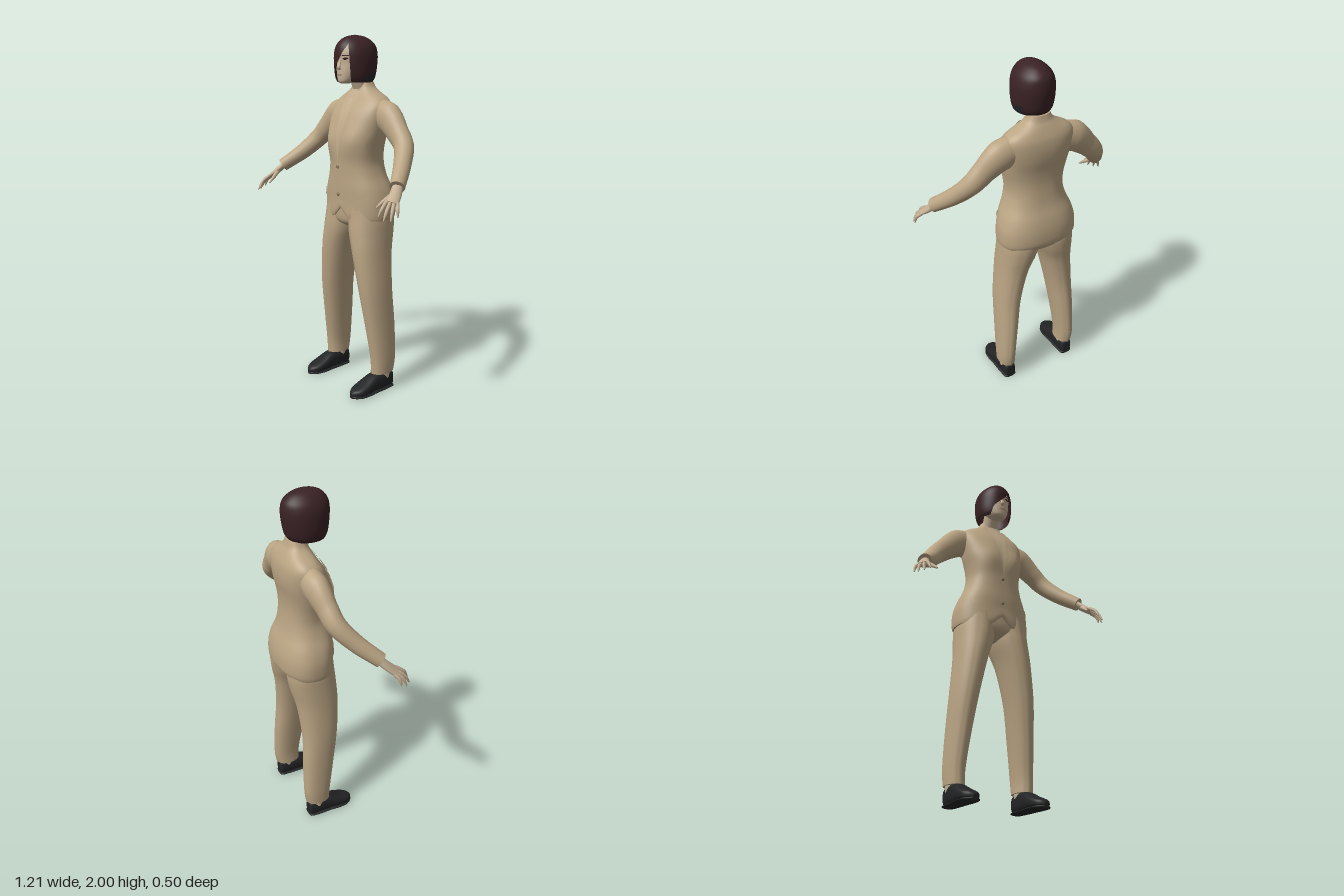
import * as THREE from 'three';

const V = (x, y, z) => new THREE.Vector3(x, y, z);
const paint = (name, color) => {
  const m = new THREE.MeshStandardMaterial({ color, side: THREE.DoubleSide });
  m.name = name;
  return m;
};

// Skin a list of point rows; closed rows wrap round, caps close both ends
function skin(rows, closed = true, caps = closed) {
  const pos = [], idx = [], n = rows[0].length;
  const put = p => pos.push(p.x, p.y, p.z) / 3 - 1;
  rows.forEach(r => r.forEach(put));
  for (let i = 0; i < rows.length - 1; i++) for (let j = 0; j < (closed ? n : n - 1); j++) {
    const a = i * n + j, b = i * n + (j + 1) % n;
    idx.push(a, b, b + n, a, b + n, a + n);
  }
  if (caps) [rows[0], rows[rows.length - 1]].forEach((r, end) => {
    const mid = put(r.reduce((s, p) => s.add(p), V(0, 0, 0)).divideScalar(n));
    const ring = r.map(put);
    ring.forEach((a, j) => end ? idx.push(mid, a, ring[(j + 1) % n]) : idx.push(mid, ring[(j + 1) % n], a));
  });
  const g = new THREE.BufferGeometry();
  g.setAttribute('position', new THREE.Float32BufferAttribute(pos, 3));
  g.setIndex(idx);
  g.computeVertexNormals();
  return g;
}

// Mirror a geometry across x, keeping faces outward
function mirror(geo) {
  const g = geo.clone().scale(-1, 1, 1), ix = g.index.array;
  for (let i = 0; i < ix.length; i += 3) [ix[i], ix[i + 1]] = [ix[i + 1], ix[i]];
  g.computeVertexNormals();
  return g;
}

// Smoothly subdivide a table of cross-sections
function refine(t, k = 4) {
  const out = [], at = i => t[Math.min(Math.max(i, 0), t.length - 1)];
  for (let i = 0; i < t.length - 1; i++) for (let s = 0; s < k; s++) {
    const u = s / k;
    out.push(t[i].map((p1, c) => {
      const p0 = at(i - 1)[c], p2 = at(i + 1)[c], p3 = at(i + 2)[c];
      return p1 + 0.5 * u * (p2 - p0 + u * (2 * p0 - 5 * p1 + 4 * p2 - p3 + u * (3 * (p1 - p2) + p3 - p0)));
    }));
  }
  out.push(t[t.length - 1]);
  return out;
}

// Point on a rounded section [y, x min, x max, front z, back z]
function sectionPoint([y, x0, x1, f, b], th, e) {
  const pw = v => Math.sign(v) * Math.abs(v) ** e;
  return V((x0 + x1) / 2 + (x1 - x0) / 2 * pw(Math.cos(th)), y, (f + b) / 2 + (f - b) / 2 * pw(Math.sin(th)));
}
function loft(table, e = 1, tweak = p => p, n = 32) {
  return skin(table.map(r => Array.from({ length: n }, (_, j) => tweak(sectionPoint(r, -j * 2 * Math.PI / n, e), j))));
}

// Height-mapped z of a lofted body, used to lay thin pieces on it
function surfaceZ(table, e, x, y, side = 1) {
  let i = 0;
  while (i < table.length - 2 && table[i + 1][0] < y) i++;
  const u = (y - table[i][0]) / (table[i + 1][0] - table[i][0]);
  const r = table[i].map((v, c) => v + (table[i + 1][c] - v) * u);
  const c = Math.min(Math.abs(x - (r[1] + r[2]) / 2) / ((r[2] - r[1]) / 2), 1) ** (1 / e);
  return (r[3] + r[4]) / 2 + side * (r[3] - r[4]) / 2 * (1 - c * c) ** (e / 2);
}
// Thin piece following a surface: rows of [y, x from, x to]
function patch(zAt, rows, off, k = 4) {
  const fine = [];
  rows.forEach((r, i) => {
    const q = rows[i + 1];
    for (let s = 0; s < (q ? k : 1); s++) fine.push(q ? r.map((v, c) => v + (q[c] - v) * s / k) : r);
  });
  return skin(fine.map(([y, a, b]) => Array.from({ length: 9 }, (_, j) => {
    const x = a + (b - a) * j / 8;
    return V(x, y, zAt(x, y) + off);
  })), false);
}

// Tapered limb along a curve; radii are [across, along ref]
function limb(pts, radii, ref = V(0, 0, 1), steps = 24, n = 20) {
  const curve = new THREE.CatmullRomCurve3(pts.map(p => V(...p)));
  return skin(Array.from({ length: steps + 1 }, (_, i) => {
    const u = i / steps, c = curve.getPoint(u), t = curve.getTangent(u);
    const b = ref.clone().addScaledVector(t, -ref.dot(t)).normalize(), m = b.clone().cross(t);
    const k = Math.min(Math.floor(u * (radii.length - 1)), radii.length - 2), w = u * (radii.length - 1) - k;
    const [rm, rb] = radii[k].map((v, q) => v + (radii[k + 1][q] - v) * w);
    return Array.from({ length: n }, (_, j) => {
      const a = j * 2 * Math.PI / n;
      return c.clone().addScaledVector(m, rm * Math.cos(a)).addScaledVector(b, rb * Math.sin(a));
    });
  }));
}

export function createModel() {
  const model = new THREE.Group();
  const suit = paint('suit fabric', 0xbba584), shirt = paint('shirt fabric', 0xc0ab8b), skinTone = paint('skin', 0xc3af93);
  const hairMat = paint('hair', 0x3a2225), under = paint('hair underside', 0x26242a), shoe = paint('shoe leather', 0x232425);
  const eyeMat = paint('eye', 0x2a1f1b), lipMat = paint('lips', 0xa88a74), buttonMat = paint('button', 0x8a7759);
  const add = (name, geo, mat) => {
    const m = new THREE.Mesh(geo, mat);
    m.name = name;
    model.add(m);
    return m;
  };
  const pair = (name, geo, mat) => { add('left ' + name, geo, mat); add('right ' + name, mirror(geo), mat); };

  // Jacket body, with a cutaway front hem
  const E = 0.82;
  const torso = refine([
    [1.0, .222, .05, -.235], [1.03, .226, .055, -.248], [1.1, .223, .055, -.248], [1.17, .205, .058, -.235],
    [1.24, .175, .058, -.212], [1.31, .158, .06, -.2], [1.38, .163, .062, -.195], [1.45, .178, .055, -.2],
    [1.52, .19, .04, -.213], [1.58, .198, .018, -.217], [1.63, .196, -.012, -.212], [1.665, .168, -.038, -.2],
    [1.695, .112, -.053, -.186], [1.72, .076, -.063, -.172], [1.75, .06, -.068, -.163],
  ].map(([y, r, f, b]) => [y, -r, r, f, b]));
  const bust = (x, y) => .016 * Math.exp(-((Math.abs(x) - .085) ** 2) / .004 - (y - 1.43) ** 2 / .006);
  add('jacket body', loft(torso, E, p => {
    const front = p.z > -.02;
    if (front) p.z += bust(p.x, p.y);
    if (front && p.y < 1.12) p.y += .06 * Math.exp(-((p.x / .04) ** 2)) * (1 - (p.y - 1) / .12);
    return p;
  }, 64), suit);
  const chest = (x, y) => surfaceZ(torso, E, x, y) + bust(x, y);
  const back = (x, y) => surfaceZ(torso, E, x, y, -1);

  // Shirt, lapels, front edge, pocket flaps and back vent
  add('shirt front', patch(chest, [[1.3, -.004, .004], [1.5, -.028, .028], [1.7, -.055, .055]], .003), shirt);
  add('open neck', patch(chest, [[1.63, -.002, .002], [1.67, -.014, .014], [1.71, -.028, .028]], .005), skinTone);
  pair('lapel', patch(chest, [[1.3, 0, .006], [1.4, .014, .05], [1.5, .026, .1], [1.56, .034, .124]], .008), suit);
  pair('collar', patch(chest, [[1.565, .035, .075], [1.6, .038, .108], [1.65, .045, .098], [1.69, .05, .075]], .009), suit);
  add('front edge', patch(chest, [[1.12, -.016, .004], [1.3, -.01, .006]], .005), suit);
  pair('pocket flap', patch(chest, [[1.112, .08, .185], [1.15, .078, .188]], .006), suit);
  add('back vent', patch(back, [[1.0, .03, -.004], [1.08, .016, -.002], [1.15, .002, 0]], -.006), suit);
  for (const y of [1.29, 1.135]) {
    const b = add('jacket button', new THREE.SphereGeometry(.011, 16, 10), buttonMat);
    b.scale.z = .4;
    b.position.set(-.005, y, chest(-.005, y) + .006);
  }

  // Sleeves
  pair('sleeve', limb(
    [[.13, 1.59, -.115], [.215, 1.56, -.112], [.3, 1.49, -.1], [.365, 1.425, -.085], [.435, 1.335, -.01], [.512, 1.247, .093]],
    [[.075, .06], [.086, .066], [.066, .054], [.056, .052], [.047, .046], [.037, .04]], undefined, 30, 28), suit);

  // Hands: palm, four fingers and thumb
  const across = V(.7, -.2, -.65).normalize();
  pair('palm', limb([[.5, 1.262, .075], [.527, 1.22, .115], [.553, 1.178, .165]], [[.02, .026], [.018, .03], [.012, .034]], across, 10, 16), skinTone);
  const tips = [[.541, 1.12, .242], [.572, 1.102, .236], [.593, 1.101, .207], [.6, 1.117, .168]];
  tips.forEach((tip, i) => {
    const base = V(.55, 1.183, .16).addScaledVector(across, (i - 1.5) * .018);
    const mid = base.clone().lerp(V(...tip), .5).add(V(.006, .006, .006));
    pair('finger', limb([base.toArray(), mid.toArray(), tip], [[.01, .01], [.0095, .0095], [.0085, .0085], [.003, .003]], across, 10, 10), skinTone);
  });
  pair('thumb', limb([[.52, 1.218, .12], [.5, 1.186, .165], [.487, 1.152, .208]], [[.015, .015], [.012, .012], [.01, .01], [.004, .004]], across, 10, 10), skinTone);

  // Trousers with pressed creases front and back
  pair('trouser leg', loft(refine([
    [.105, .156, .254, -.022, -.166], [.2, .154, .257, -.016, -.18], [.4, .131, .252, .012, -.18], [.6, .1, .244, .04, -.172],
    [.8, .054, .227, .055, -.188], [.92, .012, .219, .053, -.215], [1.0, -.005, .214, .046, -.226], [1.08, -.005, .2, .04, -.22],
  ], 6), .9, (p, j) => {
    if (j === 8 || j === 24) p.z += (j === 24 ? 1 : -1) * .007;
    return p;
  }), suit);
  add('trouser seat', loft(refine([
    [.935, -.03, .03, -.04, -.11], [.96, -.1, .1, .02, -.195], [1.0, -.2, .2, .043, -.225], [1.1, -.2, .2, .043, -.225],
  ]), .85), suit);

  // Ankles and shoes, the shoes lofted from heel to toe
  pair('ankle', new THREE.CylinderGeometry(.043, .04, .09, 20).translate(.206, .115, -.1), skinTone);
  const last = [
    [-.16, .185, .226, .014, .085], [-.148, .17, .24, .004, .104], [-.08, .163, .248, .004, .112], [-.02, .16, .251, .004, .104],
    [.04, .154, .258, .004, .076], [.09, .159, .254, .004, .056], [.12, .176, .235, .008, .044], [.134, .195, .215, .014, .03],
  ];
  const shoeLoft = (grow, lo, hi) => loft(refine(last.map(([z, a, b, bot, top]) => [z, a - grow, b + grow, -lo(bot), -hi(top)])), .75).rotateX(Math.PI / 2);
  pair('shoe', shoeLoft(0, b => b, t => t), shoe);
  pair('shoe sole', shoeLoft(.003, () => 0, () => .016), shoe);

  // Neck and head
  add('neck', limb([[0, 1.66, -.115], [0, 1.72, -.1], [0, 1.8, -.07]], [[.055, .05], [.049, .046], [.05, .05]]), skinTone);
  const head = refine([
    [1.742, .02, .04, -.01], [1.752, .04, .05, -.035], [1.775, .058, .053, -.07], [1.81, .073, .053, -.11], [1.85, .082, .05, -.135],
    [1.9, .084, .052, -.145], [1.94, .07, .04, -.14], [1.97, .04, .0, -.1],
  ].map(([y, r, f, b]) => [y, -r, r, f, b]));
  add('head', loft(head, .95), skinTone);
  const face = (x, y) => surfaceZ(head, .95, x, y);
  add('nose', limb([[0, 1.878, .046], [0, 1.85, .053], [0, 1.826, .06], [0, 1.815, .052]], [[.006, .004], [.009, .006], [.014, .009], [.008, .004]], undefined, 14, 14), skinTone);
  add('lips', patch(face, [[1.781, -.012, .012], [1.787, -.023, .023], [1.793, -.013, .013]], .004), lipMat);
  pair('eye', patch(face, [[1.866, .032, .04], [1.871, .022, .053], [1.877, .028, .05]], .003), eyeMat);
  pair('eyebrow', patch(face, [[1.887, .018, .058], [1.892, .022, .054]], .003), hairMat);

  // Bobbed hair: sections carry the x of the parting on each side of the face
  const bob = refine([
    [1.748, .09, .045, -.152, .06, -.062], [1.77, .101, .055, -.167, .066, -.06], [1.81, .108, .062, -.178, .069, -.047],
    [1.87, .109, .067, -.187, .068, .012], [1.91, .104, .066, -.187, .064, .035], [1.945, .09, .056, -.178, .052, .05],
    [1.975, .063, .03, -.148, .035, .035], [1.992, .035, -.005, -.11, .018, .018], [2.0, .003, -.05, -.056, .001, .001],
  ], 5);
  const hairPoint = ([y, r, f, b], th, grow = 1) => sectionPoint([y, -r * grow, r * grow, f, b], th, 1);
  const arc = x => Math.acos(Math.max(-1, Math.min(1, x)));
  add('bobbed hair', skin(bob.map(r => {
    const a = arc(r[4] / r[1]), b = arc(r[5] / r[1]) - 2 * Math.PI;
    return Array.from({ length: 57 }, (_, j) => hairPoint(r, a + (b - a) * j / 56));
  }), false), hairMat);
  add('hair underside', skin(bob.slice(2, 10).map((r, i) => Array.from({ length: 9 }, (_, j) =>
    hairPoint(r, .35 - .08 * i - (.95 - .08 * i) * j / 8, 1.02))), false), under);

  return model;
}
